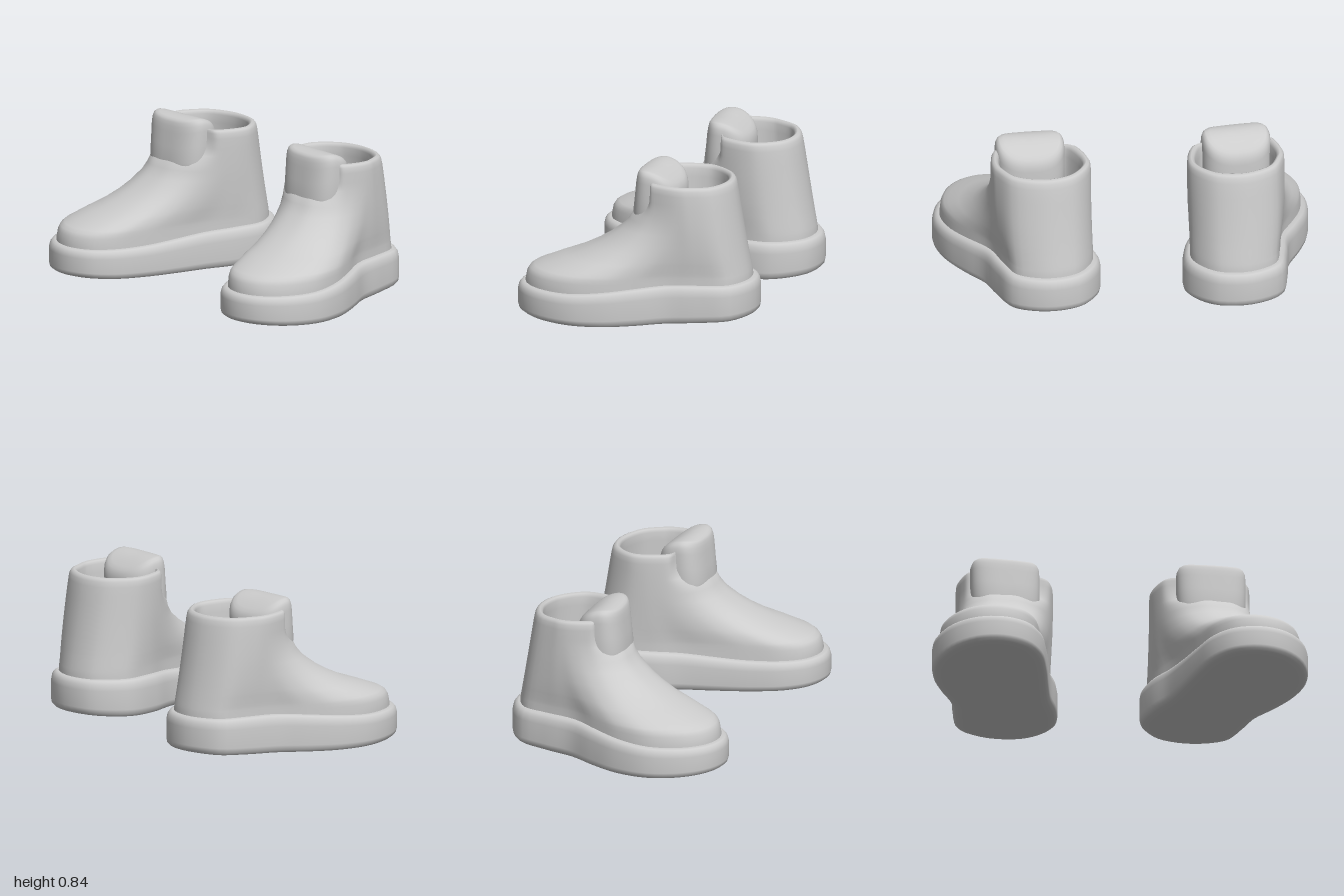
import * as THREE from 'three';

const grey = new THREE.MeshStandardMaterial({ color: 0xcccccc });
grey.name = 'light grey';
const N = 76;

// Matching outlines [x, z]: toe, outer side, heel, inner side
const FOOT = [[.70, .62], [.84, .58], [.95, .46], [1.0, .27], [.965, .08], [.885, -.08], [.80, -.22], [.755, -.38],
  [.69, -.55], [.515, -.63], [.34, -.60], [.245, -.51], [.195, -.38], [.23, -.2], [.295, -.05], [.345, .12],
  [.395, .30], [.46, .47], [.56, .58]];
const SHAFT = [[.55, 0], [.63, -.01], [.69, -.05], [.73, -.10], [.75, -.16], [.76, -.22], [.76, -.29], [.745, -.38],
  [.68, -.52], [.51, -.585], [.36, -.555], [.28, -.48], [.24, -.37], [.24, -.25], [.262, -.17], [.30, -.10],
  [.35, -.05], [.41, -.02], [.48, 0]];

// Smooth closed outline, sampled so that both outlines correspond point by point
function outline(points) {
  const curve = new THREE.CatmullRomCurve3(points.map(([x, z]) => new THREE.Vector3(x, 0, z)), true);
  return Array.from({ length: N }, (_, i) => {
    const p = curve.getPoint(i / N);
    return [p.x, p.z];
  });
}

// Move an outline outwards along its normals
function offset(ring, d) {
  return ring.map(([x, z], i) => {
    const a = ring[(i + N - 1) % N], b = ring[(i + 1) % N];
    const tx = b[0] - a[0], tz = b[1] - a[1], l = Math.hypot(tx, tz) || 1;
    return [x - tz / l * d, z + tx / l * d];
  });
}

const blend = (a, b, w) => a.map((p, i) => [p[0] + (b[i][0] - p[0]) * w, p[1] + (b[i][1] - p[1]) * w]);
const raise = (ring, height) => ring.map(([x, z]) => [x, height(z), z]);

// Skin a stack of rings, with optional caps
function loft(name, rings, mirror, capStart, capEnd) {
  const pos = rings.flat(2), index = [];
  const tri = (a, b, c) => (mirror ? index.push(a, c, b) : index.push(a, b, c));
  for (let r = 0; r < rings.length - 1; r++) {
    for (let i = 0; i < N; i++) {
      const a = r * N + i, b = r * N + (i + 1) % N;
      tri(a, b, a + N);
      tri(b, b + N, a + N);
    }
  }
  const cap = (r, flip) => {
    const c = pos.length / 3;
    for (let k = 0; k < 3; k++) pos.push(rings[r].reduce((s, p) => s + p[k], 0) / N);
    for (let i = 0; i < N; i++) {
      const a = r * N + i, b = r * N + (i + 1) % N;
      if (flip) tri(b, a, c); else tri(a, b, c);
    }
  };
  if (capStart) cap(0, true);
  if (capEnd) cap(rings.length - 1, false);
  if (mirror) for (let i = 0; i < pos.length; i += 3) pos[i] = -pos[i];
  const g = new THREE.BufferGeometry();
  g.setAttribute('position', new THREE.Float32BufferAttribute(pos, 3));
  g.setIndex(index);
  g.computeVertexNormals();
  const mesh = new THREE.Mesh(g, grey);
  mesh.name = name;
  return mesh;
}

function makeBoot(name, mirror) {
  const boot = new THREE.Group();
  boot.name = name;
  const foot = outline(FOOT), shaft = outline(SHAFT), last = offset(foot, -.04);
  const smooth = THREE.MathUtils.smoothstep;

  // Sole: sprung at toe and heel, top edge higher round the heel
  const low = z => .035 + .025 * (z / .63) ** 2;
  const high = z => .25 - .04 * smooth(z, -.3, .35);
  const soleRings = [[-.2, 0], [-.05, 0], [-.02, .03], [-.005, .1], [0, .22], [0, .72], [-.006, .88], [-.018, .97],
    [-.032, 1], [-.07, 1]].map(([d, t]) =>
    raise(d < -.1 ? blend(foot, foot.map(() => [.6, 0]), .3) : offset(foot, d), z => low(z) + (high(z) - low(z)) * t));
  boot.add(loft('sole', soleRings, mirror, true, false));

  // Upper: foot shape shrinking into the shaft, then rim and lining
  // Each row: height, share of foot shape, outward offset, front pulled back
  const rows = [[.16, 1, 0, 0], [.22, 1, 0, 0], [.265, .985, 0, 0], [.288, .96, 0, 0], [.303, .92, 0, 0],
    [.32, .84, 0, 0], [.34, .75, 0, 0], [.36, .65, 0, 0], [.38, .55, 0, 0], [.42, .4, 0, 0], [.46, .28, 0, 0],
    [.52, .14, 0, 0], [.57, .07, 0, 0], [.61, .035, 0, 0], [.65, .01, 0, .5], [.69, 0, 0, .9], [.74, 0, 0, 1],
    [.768, 0, -.002, 1], [.782, 0, -.01, 1], [.788, 0, -.023, 1], [.782, 0, -.036, 1], [.765, 0, -.044, 1],
    [.72, 0, -.048, 1], [.55, 0, -.055, 1], [.34, 0, -.065, 1], [.3, 0, -.09, 1]];
  const upperRings = rows.map(([y, w, d, pull]) => {
    const ring = offset(blend(shaft, last, w), d).map(([x, z]) => [x,
      z + Math.max(0, y - .25) * .16 * smooth(-z, .2, .5) - pull * .075 * smooth(z, -.14, 0)]);
    return raise(ring, z => y + (y > .7 ? .03 * (z + .25) : 0));
  });
  boot.add(loft('upper', upperRings, mirror, false, true));

  // Tongue: padded front panel whose top slopes back into the opening
  const top = z => (z > -.07 ? .845 - 4 * (z + .07) ** 2 : .845 - 3.3 * (z + .07) ** 2);
  const pow = (v, e) => Math.sign(v) * Math.abs(v) ** e;
  // Each row: height share, front z, size
  const tongueRings = [[0, 0, .9], [.26, .022, .95], [.44, .022, 1], [.64, .012, 1], [.84, .004, 1], [.92, 0, .985],
    [.97, 0, .94], [.995, 0, .87], [1, 0, .75], [1, 0, .5], [1, 0, .25]].map(([t, front, s]) => {
    const ring = Array.from({ length: N }, (_, i) => {
      const a = i / N * Math.PI * 2, c = Math.cos(a);
      const reach = c > 0 ? front + .1 : .14;
      return [.535 + .185 * s * pow(Math.sin(a), .75), -.1 + reach * s * pow(c, .8)];
    });
    return raise(ring, z => .45 + (top(z) - .45) * t);
  });
  boot.add(loft('tongue', tongueRings, mirror, true, true));
  return boot;
}

export function createModel() {
  const model = new THREE.Group();
  model.name = 'pairOfBoots';
  model.add(makeBoot('leftBoot', false));

  // The right boot stands a little lower and turns about its toe
  const right = makeBoot('rightBoot', true);
  const pivot = new THREE.Vector3(-.7, 0, .3);
  right.rotation.y = .075;
  right.position.copy(pivot).sub(pivot.clone().applyEuler(right.rotation));
  right.position.y = -.035;
  model.add(right);
  return model;
}
